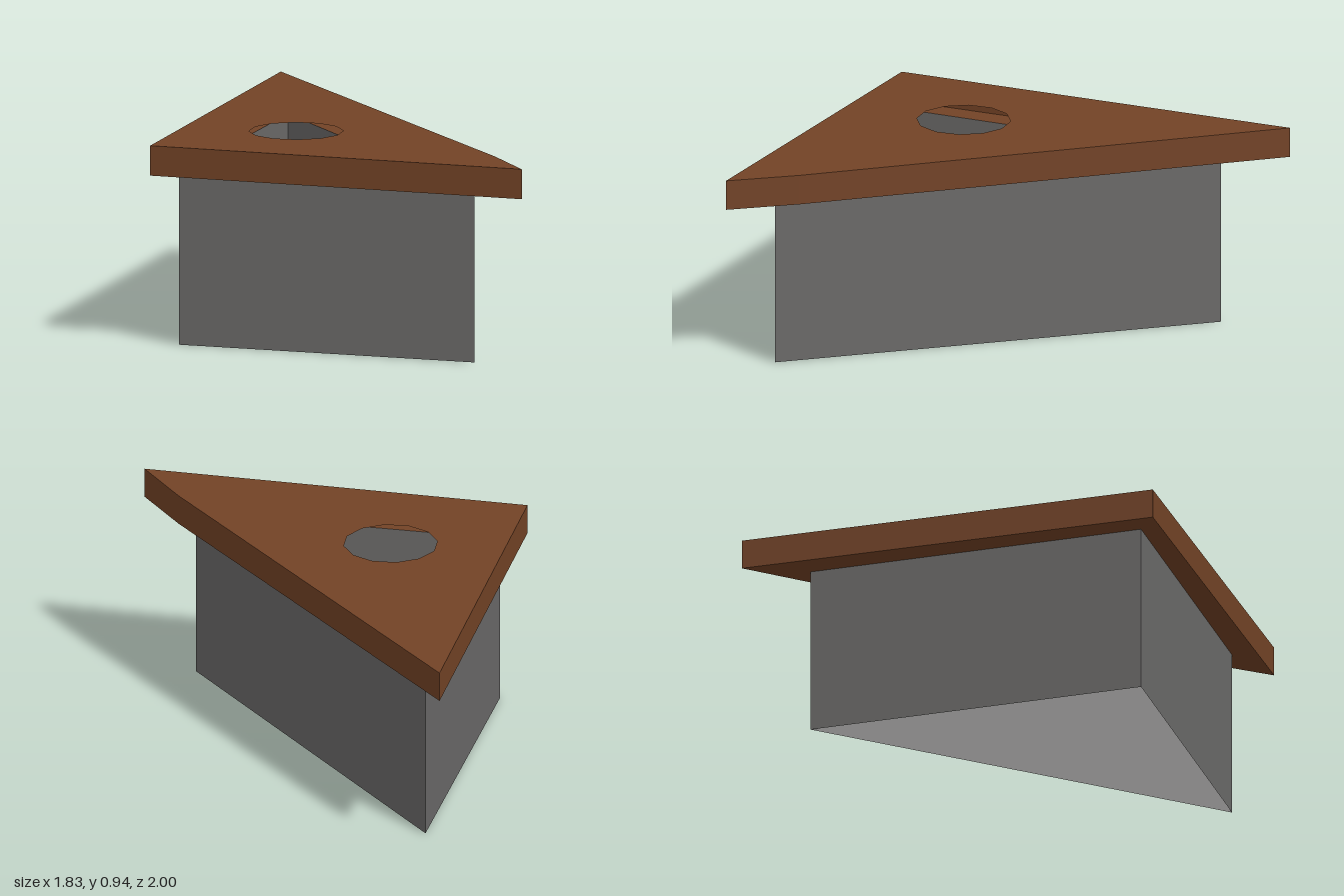
import * as THREE from 'three';

const WALL_TOP = 0.8;
const ROOF_TOP = 0.94;

// Plan outlines as [x, z], counter-clockwise seen from above
const roofOutline = [[-0.92, -1], [-0.9, 0.97], [0.91, 1], [0.69, 0.73]];
const wallOutline = [[-0.79, -0.71], [-0.79, 0.88], [0.64, 0.88]];
const roofOpening = Array.from({ length: 12 }, (_, i) => {
  const a = (i * Math.PI) / 6 + 0.183;
  return [-0.38 + 0.217 * Math.sin(a), 0.405 - 0.217 * Math.cos(a)];
});

// Open band of upright faces following an outline, facing outwards
function band(outline, y0, y1) {
  const positions = [];
  outline.forEach(([x, z], i) => {
    const [u, w] = outline[(i + 1) % outline.length];
    positions.push(x, y0, z, u, y0, w, u, y1, w);
    positions.push(x, y0, z, u, y1, w, x, y1, z);
  });
  const geometry = new THREE.BufferGeometry();
  geometry.setAttribute('position', new THREE.Float32BufferAttribute(positions, 3));
  geometry.computeVertexNormals();
  return geometry;
}

// Flat horizontal face with an opening, facing up or down
function sheet(outline, opening, y, up) {
  const s = up ? -1 : 1;
  const points = (list) => list.map(([x, z]) => new THREE.Vector2(x, s * z));
  const shape = new THREE.Shape(points(outline));
  shape.holes.push(new THREE.Path(points(opening)));
  return new THREE.ShapeGeometry(shape).rotateX((s * Math.PI) / 2).translate(0, y, 0);
}

export function createModel() {
  const brown = new THREE.MeshStandardMaterial({ color: 0x734326, side: THREE.DoubleSide });
  brown.name = 'roofBrown';
  const gray = new THREE.MeshStandardMaterial({ color: 0x6b6a69, side: THREE.DoubleSide });
  gray.name = 'wallGray';

  const model = new THREE.Group();
  model.name = 'triangularBuilding';
  const add = (parent, name, geometry, material) => {
    const mesh = new THREE.Mesh(geometry, material);
    mesh.name = name;
    parent.add(mesh);
  };

  // Thin walls, open below
  add(model, 'walls', band(wallOutline, 0, WALL_TOP), gray);

  // Overhanging hollow roof with a round opening
  const roof = new THREE.Group();
  roof.name = 'roof';
  add(roof, 'roofTop', sheet(roofOutline, roofOpening, ROOF_TOP, true), brown);
  add(roof, 'fascia', band(roofOutline, WALL_TOP, ROOF_TOP), brown);
  add(roof, 'soffit', sheet(roofOutline, wallOutline, WALL_TOP, false), brown);
  model.add(roof);

  return model;
}
